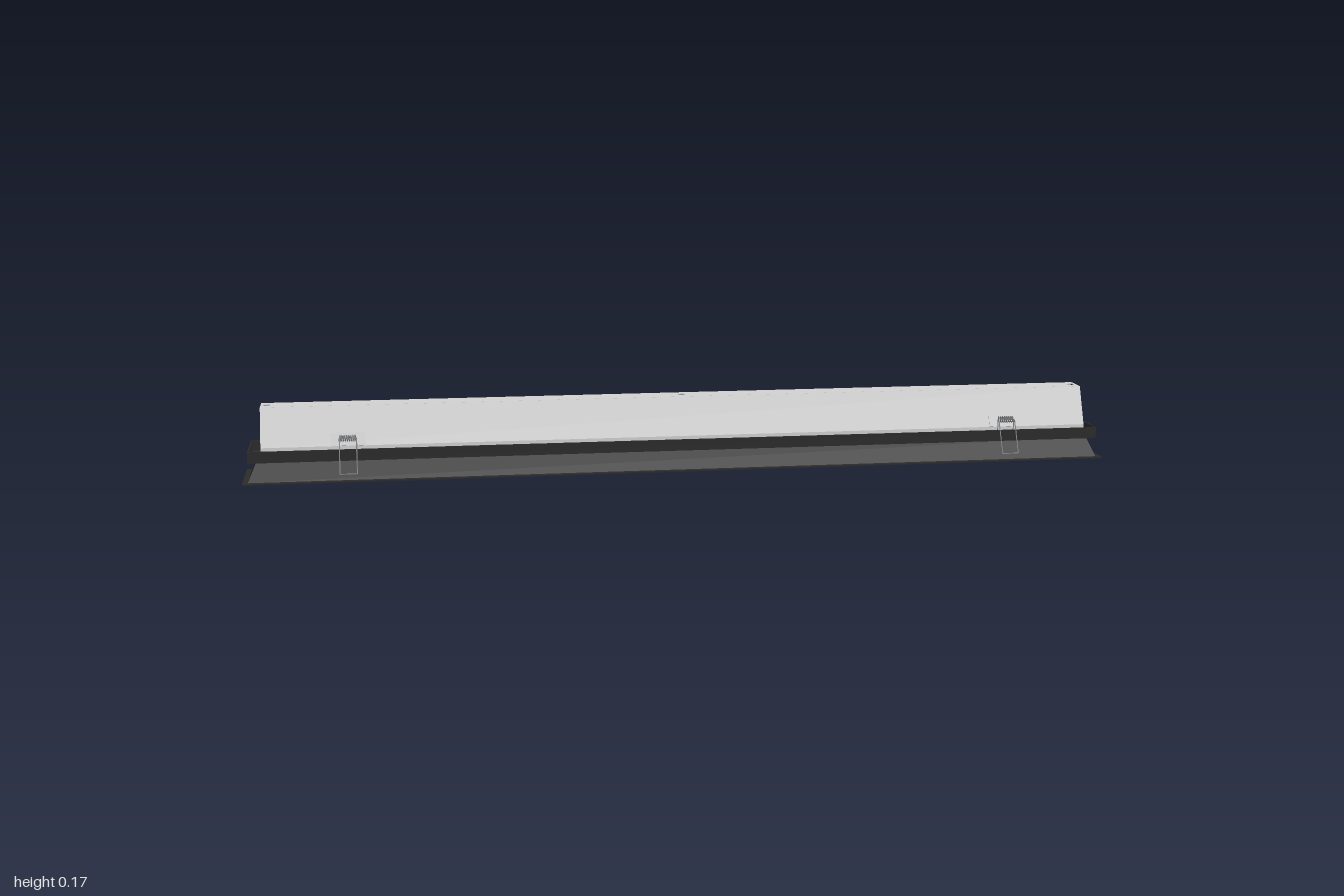
import * as THREE from 'three';

const black = new THREE.MeshStandardMaterial({ color: 0x2c2c2c });
black.name = 'black frame';
const sheet = new THREE.MeshStandardMaterial({ color: 0xd2d2d2 });
sheet.name = 'pale sheet metal';
const steel = new THREE.MeshStandardMaterial({ color: 0x85888c });
steel.name = 'spring steel';

function mesh(name, geometry, material) {
  const m = new THREE.Mesh(geometry, material);
  m.name = name;
  return m;
}

// Sweep a closed [z, y] section around a mitred rectangle
function sweepRectangle(section, extraX) {
  const corners = [[1, 1], [1, -1], [-1, -1], [-1, 1]];
  const pos = [];
  const at = (c, [z, y]) => [c[0] * (z + extraX), y, c[1] * z];
  corners.forEach((c0, i) => {
    const c1 = corners[(i + 1) % 4];
    section.forEach((a, j) => {
      const b = section[(j + 1) % section.length];
      pos.push(...at(c0, a), ...at(c1, a), ...at(c1, b), ...at(c0, a), ...at(c1, b), ...at(c0, b));
    });
  });
  const g = new THREE.BufferGeometry();
  g.setAttribute('position', new THREE.Float32BufferAttribute(pos, 3));
  g.computeVertexNormals();
  return g;
}

// Straight round wire between two points
function rod(name, a, b, radius = 0.0012) {
  const from = new THREE.Vector3(...a), to = new THREE.Vector3(...b);
  const dir = to.clone().sub(from);
  const m = mesh(name, new THREE.CylinderGeometry(radius, radius, dir.length(), 8), steel);
  m.position.copy(from).addScaledVector(dir, 0.5);
  m.quaternion.setFromUnitVectors(new THREE.Vector3(0, 1, 0), dir.normalize());
  return m;
}

class Helix extends THREE.Curve {
  getPoint(t, target = new THREE.Vector3()) {
    const a = t * Math.PI * 2 * 8;
    return target.set((t - 0.5) * 0.038, Math.sin(a) * 0.0065, Math.cos(a) * 0.0065);
  }
}

// Spring clip on the +z side: mounting plate, coil and wire loop
function makeClip() {
  const clip = new THREE.Group();
  clip.name = 'springClip';

  const plate = mesh('clipPlate', new THREE.BoxGeometry(0.078, 0.03, 0.0015), sheet);
  plate.position.set(0, 0.0945, 0.0592);
  plate.rotation.x = -Math.atan2(0.034, 0.086);
  clip.add(plate);

  const coil = mesh('springCoil', new THREE.TubeGeometry(new Helix(), 128, 0.0013, 6), steel);
  coil.position.set(0, 0.098, 0.067);
  clip.add(coil);

  for (const s of [-1, 1]) {
    clip.add(rod('springArm', [s * 0.019, 0.098, 0.073], [s * 0.019, 0.024, 0.107]));
    clip.add(rod('springAnchor', [s * 0.019, 0.098, 0.0645], [s * 0.019, 0.07, 0.0655]));
  }
  clip.add(rod('springBar', [-0.019, 0.024, 0.107], [0.019, 0.024, 0.107]));
  return clip;
}

export function createModel() {
  const model = new THREE.Group();
  model.name = 'recessedLinearLight';

  // Frame: bottom flange, sloped reflector wall, ledge and upright collar
  const section = [
    [0.083, 0], [0.083, 0.003], [0.071, 0.003], [0.052, 0.047], [0.07, 0.047], [0.07, 0.073],
    [0.067, 0.073], [0.067, 0.05], [0.049, 0.05], [0.068, 0.003], [0.068, 0],
  ];
  model.add(mesh('frame', sweepRectangle(section, 0.917), black));

  // Cover sides: sloping sheet that bends down onto the ledge, open at both ends
  const length = 1.916, t = 0.0012;
  for (const s of [-1, 1]) {
    const pts = [[0.029, 0.166], [0.0635, 0.08], [0.0655, 0.0505], [0.0655 - t, 0.0505], [0.0635 - t, 0.08], [0.029 - t, 0.166]];
    const shape = new THREE.Shape(pts.map(([z, y]) => new THREE.Vector2(s * z, y)));
    const g = new THREE.ExtrudeGeometry(shape, { depth: length, bevelEnabled: false });
    g.rotateY(-Math.PI / 2);
    g.translate(length / 2, 0, 0);
    model.add(mesh(s > 0 ? 'coverFront' : 'coverBack', g, sheet));
  }

  // Cover top with three round holes
  const hx = length / 2, hz = 0.029;
  const top = new THREE.Shape([[-hx, -hz], [hx, -hz], [hx, hz], [-hx, hz]].map((p) => new THREE.Vector2(...p)));
  for (const x of [-0.945, 0, 0.945]) {
    const hole = new THREE.Path();
    hole.absarc(x, 0, 0.009, 0, Math.PI * 2, true);
    top.holes.push(hole);
  }
  const topGeometry = new THREE.ExtrudeGeometry(top, { depth: t, bevelEnabled: false, curveSegments: 20 });
  topGeometry.rotateX(-Math.PI / 2);
  topGeometry.translate(0, 0.1662 - t, 0);
  model.add(mesh('coverTop', topGeometry, sheet));

  // Two clips on each long side
  for (const x of [-0.765, 0.765]) {
    for (const turn of [0, Math.PI]) {
      const clip = makeClip();
      clip.position.x = x;
      clip.rotation.y = turn;
      model.add(clip);
    }
  }
  return model;
}
